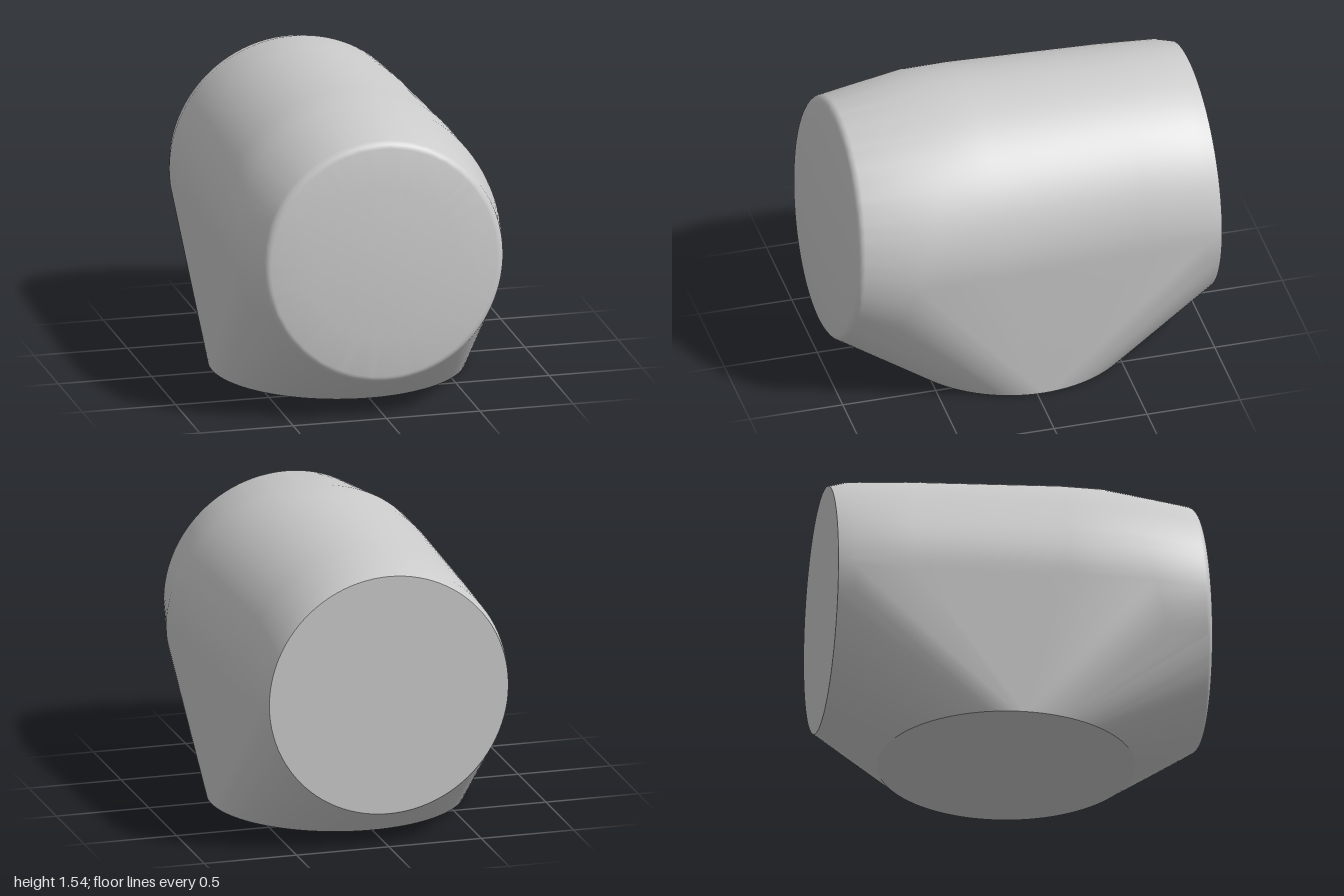
import * as THREE from 'three';
import { ConvexGeometry } from 'three/addons/geometries/ConvexGeometry.js';
import { toCreasedNormals } from 'three/addons/utils/BufferGeometryUtils.js';

const SEGMENTS = 96;

// Upright ellipse of points around (0, y, z); lean shifts z forward towards the bottom
function ring(y, z, rx, ry, lean = 0) {
  return Array.from({ length: SEGMENTS }, (_, i) => {
    const a = (i / SEGMENTS) * Math.PI * 2;
    const dy = Math.cos(a) * ry;
    return new THREE.Vector3(Math.sin(a) * rx, y + dy, z - dy * lean);
  });
}

// Flat ellipse of points lying on the ground
function footRing(z, rx, rz) {
  return ring(0, 0, rx, rz).map((p) => new THREE.Vector3(p.x, 0, z + p.y));
}

export function createModel() {
  const group = new THREE.Group();
  const points = [
    ...footRing(-0.03, 0.67, 0.67), // round base
    ...ring(0.825, -1, 0.647, 0.645), // flat back end
    ...ring(0.825, -0.91, 0.67, 0.67), // back bevel
    ...ring(0.825, -0.6, 0.682, 0.693),
    ...ring(0.833, 0.2, 0.708, 0.712), // widest part of the barrel
    ...ring(0.83, 0.635, 0.712, 0.71, 0.33), // leaning shoulder
  ];

  // Rounded rim of the leaning front face
  const lean = 0.07, round = 0.045, rimSteps = 6;
  for (let i = 0; i <= rimSteps; i++) {
    const a = (i / rimSteps) * Math.PI * 0.47;
    const r = 0.6 + round * Math.cos(a);
    points.push(...ring(0.832, 0.91 + round * Math.sin(a), r, r, lean));
  }

  // Slightly domed front face
  for (const [r, bulge] of [[0.4, 0.017], [0.2, 0.027]]) {
    points.push(...ring(0.832, 0.955 + bulge, r, r, lean));
  }
  points.push(new THREE.Vector3(0, 0.832, 0.985));

  // The body is the skin stretched over all the rings
  const geometry = toCreasedNormals(new ConvexGeometry(points), THREE.MathUtils.degToRad(24));
  const body = new THREE.Mesh(
    geometry,
    new THREE.MeshStandardMaterial({ color: 0xcccccc })
  );
  body.name = 'body';
  group.add(body);
  return group;
}
